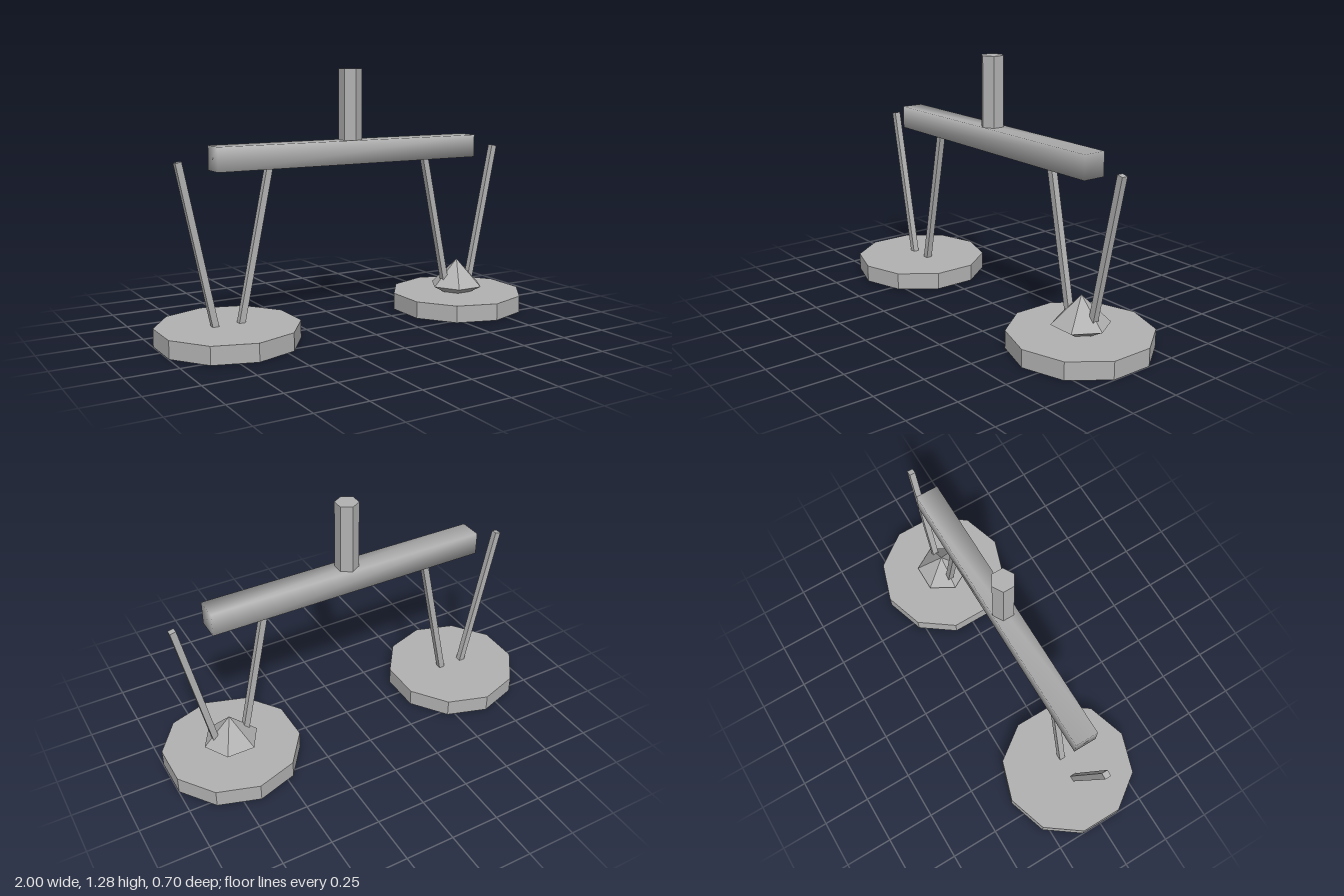
import * as THREE from 'three';
import { mergeVertices } from 'three/addons/utils/BufferGeometryUtils.js';

const gray = new THREE.MeshStandardMaterial({ color: 0xb2b2b2 });
gray.name = 'gray metal';

// Faceted normals for low-poly parts
function faceted(geometry) {
  const g = geometry.index ? geometry.toNonIndexed() : geometry;
  g.computeVertexNormals();
  return g;
}

// Shared corners give the box soft, rounded-looking shading
function softBox(w, h, d) {
  const box = new THREE.BoxGeometry(w, h, d);
  box.deleteAttribute('normal');
  box.deleteAttribute('uv');
  const g = mergeVertices(box);
  g.computeVertexNormals();
  return g;
}

function add(parent, name, geometry, x = 0, y = 0, z = 0) {
  const mesh = new THREE.Mesh(geometry, gray);
  mesh.name = name;
  mesh.position.set(x, y, z);
  parent.add(mesh);
  return mesh;
}

export function createModel() {
  const model = new THREE.Group();
  model.name = 'balanceScale';

  // Crossbeam and the post through its middle
  add(model, 'beam', softBox(1.454, 0.116, 0.116), 0, 0.873);
  add(model, 'post', faceted(new THREE.CylinderGeometry(0.058, 0.058, 0.466, 6)), 0, 1.047);

  const panX = 0.667;
  const tilt = 0.207;
  for (const side of [-1, 1]) {
    const pan = new THREE.Group();
    pan.name = side > 0 ? 'leftPan' : 'rightPan';
    pan.position.x = side * panX;
    model.add(pan);

    // Ten-sided weighing plate
    add(pan, 'plate', faceted(new THREE.CylinderGeometry(0.348, 0.348, 0.087, 10)), 0, 0.0435);

    // Two rods spreading upward in a V
    for (const s of [-1, 1]) {
      const rod = add(pan, 'rod', new THREE.BoxGeometry(0.031, 0.82, 0.031), s * 0.146, 0.464);
      rod.rotation.z = -s * tilt;
    }
  }

  // Six-sided gem resting on the left plate
  const gem = new THREE.Group();
  gem.name = 'gem';
  gem.position.set(panX, 0.12, 0);
  gem.rotation.y = Math.PI / 6;
  model.add(gem);
  add(gem, 'gemTop', faceted(new THREE.ConeGeometry(0.142, 0.14, 6, 1, true)), 0, 0.07);
  add(gem, 'gemBottom', faceted(new THREE.CylinderGeometry(0.142, 0.06, 0.045, 6)), 0, -0.0225);

  return model;
}
